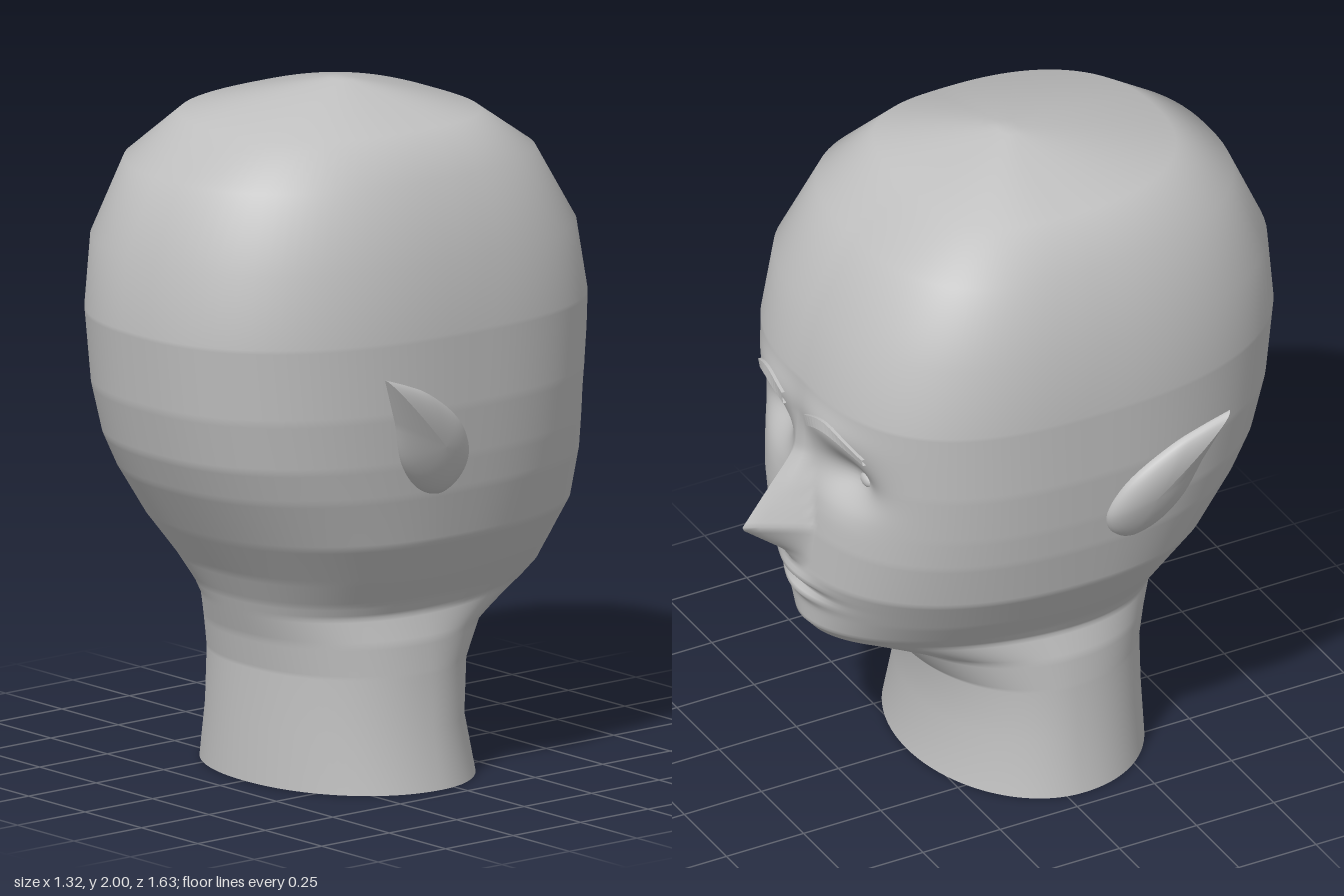
import * as THREE from 'three';

const skin = new THREE.MeshStandardMaterial({ color: 0xc0c0c0, side: THREE.DoubleSide });
skin.name = 'plain grey';

const ZC = 0.05; // z where every cross-section is widest
// Cross-sections: y, half width, face z, back z, squareness of the face half
const SECTIONS = [
  [0, 0.445, -0.28, 0.41, 2], [0.17, 0.41, -0.25, 0.405, 2], [0.33, 0.4, -0.27, 0.4, 2],
  [0.43, 0.39, -0.36, 0.42, 1.9], [0.51, 0.365, -0.58, 0.45, 1.8], [0.55, 0.385, -0.615, 0.465, 1.9],
  [0.63, 0.44, -0.62, 0.51, 2.1], [0.75, 0.51, -0.645, 0.6, 2.3], [0.9, 0.545, -0.64, 0.7, 2.5],
  [1.0, 0.56, -0.63, 0.75, 2.6], [1.15, 0.575, -0.625, 0.79, 2.7], [1.37, 0.58, -0.625, 0.815, 2.8],
  [1.58, 0.567, -0.585, 0.797, 2.8], [1.8, 0.49, -0.46, 0.7, 2.8], [1.92, 0.38, -0.29, 0.53, 2.9],
  [2.0, 0.04, 0.02, 0.08, 2], [2.0, 0.0001, 0.0499, 0.0501, 2],
];
// Nose profile: y, projection, half width
const NOSE = [[0.75, 0, 0.06], [0.8, 0.035, 0.085], [0.907, 0.176, 0.1], [1.0, 0.115, 0.08],
  [1.13, 0.02, 0.055], [1.25, 0, 0.04]];

function sample(table, y) {
  const i = Math.min(Math.max(table.findIndex((r) => r[0] >= y), 1), table.length - 1);
  const a = table[i - 1], b = table[i];
  const t = THREE.MathUtils.clamp((y - a[0]) / (b[0] - a[0] || 1), 0, 1);
  return a.map((v, k) => v + (b[k] - v) * t);
}

const bell = (d, s) => Math.exp(-(d * d) / (s * s));

// Relief of the face: nose, eye sockets, brow ridge, lips and chin
function relief(x, y) {
  const ax = Math.abs(x);
  let d = 0;
  if (y > 0.75 && y < 1.25) {
    const [, out, half] = sample(NOSE, y);
    d -= out * Math.pow(Math.max(0, 1 - ax / half), 1.15);
  }
  d += 0.075 * bell(ax - 0.2, 0.11) * bell(y - 1.12, 0.075);
  d -= 0.02 * bell(ax - 0.15, 0.15) * bell(y - 1.28, 0.06);
  d -= 0.018 * bell(x, 0.11) * (bell(y - 0.715, 0.022) + bell(y - 0.655, 0.022));
  d += 0.015 * bell(x, 0.13) * bell(y - 0.685, 0.014);
  return d;
}

// Depth of the face surface at x, y
function faceZ(x, y) {
  const [, w, front, , n] = sample(SECTIONS, y);
  const r = Math.pow(Math.max(0, 1 - Math.pow(Math.abs(x) / w, n)), 1 / n);
  return ZC - (ZC - front) * r + relief(x, y);
}

// Grid of shared vertices: rows of points, each row optionally closed
function gridGeometry(rows, closed) {
  const n = rows[0].length, index = [];
  for (let i = 0; i < rows.length - 1; i++) {
    for (let j = 0; j < (closed ? n : n - 1); j++) {
      const a = i * n + j, b = i * n + (j + 1) % n;
      index.push(a, a + n, b, b, a + n, b + n);
    }
  }
  const g = new THREE.BufferGeometry();
  g.setAttribute('position', new THREE.Float32BufferAttribute(rows.flat(2), 3));
  g.setIndex(index);
  g.computeVertexNormals();
  return g;
}

function headGeometry() {
  // Fine rows through the face and neck, single steps over the skull
  const sections = [];
  SECTIONS.forEach((s, i) => {
    if (i > 0) {
      const p = SECTIONS[i - 1];
      const steps = s[0] < 1.4 && s[0] > 0.4 ? Math.ceil((s[0] - p[0]) / 0.0125) : 1;
      for (let k = 1; k < steps; k++) sections.push(p.map((v, c) => v + (s[c] - v) * k / steps));
    }
    sections.push(s);
  });
  const COLS = 144, signedPow = (v, e) => Math.sign(v) * Math.pow(Math.abs(v), e);
  const rows = sections.map(([y, w, front, back, n]) => {
    const row = [];
    for (let j = 0; j < COLS; j++) {
      const u = (j / COLS) * Math.PI * 2;
      const th = u - 0.6 * Math.sin(u); // columns gather at the face
      const c = Math.cos(th), m = c > 0 ? n : THREE.MathUtils.lerp(2.1, 2.4, Math.min(y, 1));
      const x = w * signedPow(Math.sin(th), 2 / m);
      const r = Math.pow(Math.abs(c), 2 / m);
      const z = c > 0 ? ZC - (ZC - front) * r + relief(x, y) * Math.min(1, c * 3) : ZC + (back - ZC) * r;
      row.push([x, y, z]);
    }
    return row;
  });
  return gridGeometry(rows, true);
}

// Pointed leaf-shaped ear, domed outside and nearly flat inside
function earGeometry(side) {
  const outline = [[0.42, 1.29], [0.33, 1.258], [0.245, 1.22], [0.11, 1.115], [0.06, 1.01], [0.08, 0.94],
    [0.14, 0.9], [0.22, 0.925], [0.3, 1.01], [0.355, 1.15]];
  const curve = new THREE.CatmullRomCurve3(outline.map(([z, y]) => new THREE.Vector3(0, y, z)));
  const pts = curve.getPoints(50).concat(new THREE.Vector3(0, 1.29, 0.42));
  const rows = [];
  for (let i = 0; i <= 20; i++) {
    const a = (i / 20) * Math.PI; // from inner centre over the rim to outer centre
    const t = Math.max(Math.sin(a), 0.001);
    const dome = -Math.cos(a) * (i > 10 ? 0.055 : 0.005);
    rows.push(pts.map((p) => {
      const y = 1.06 + (p.y - 1.06) * t, z = 0.19 + (p.z - 0.19) * t;
      return [side * (0.54 + 0.245 * (y - 0.9) + dome), y, z];
    }));
  }
  const g = gridGeometry(rows, false);
  if (side > 0) return g;
  g.setIndex(Array.from(g.index.array).reverse());
  g.computeVertexNormals();
  return g;
}

// Arched brow: a thin band following the forehead
function browGeometry(side) {
  const rows = [];
  for (let i = 0; i <= 16; i++) {
    const t = i / 16, x = 0.065 + 0.24 * t;
    const y = 1.255 + 0.05 * Math.sin(Math.PI * Math.min(1, t * 0.95 + 0.05)) - 0.02 * t;
    const h = 0.019 - 0.009 * t;
    const at = (dy, lift) => [side * x, y + dy, faceZ(x, y + dy) - lift];
    rows.push([at(-h, -0.01), at(-h, 0.01), at(h, 0.01), at(h, -0.01)]);
  }
  return gridGeometry(side > 0 ? rows.reverse() : rows, false).toNonIndexed();
}

export function createModel() {
  const model = new THREE.Group();
  model.name = 'headBust';
  const add = (name, geometry) => {
    const mesh = new THREE.Mesh(geometry, skin);
    mesh.name = name;
    model.add(mesh);
    return mesh;
  };

  add('headAndNeck', headGeometry());
  for (const side of [1, -1]) {
    const label = side > 0 ? 'left' : 'right';
    add(label + 'Ear', earGeometry(side));
    const brow = browGeometry(side);
    brow.computeVertexNormals();
    add(label + 'Brow', brow);
    const eye = add(label + 'Eye', new THREE.SphereGeometry(1, 20, 14));
    eye.scale.set(0.03, 0.02, 0.014);
    eye.position.set(side * 0.23, 1.12, faceZ(0.23, 1.12));
  }
  return model;
}
